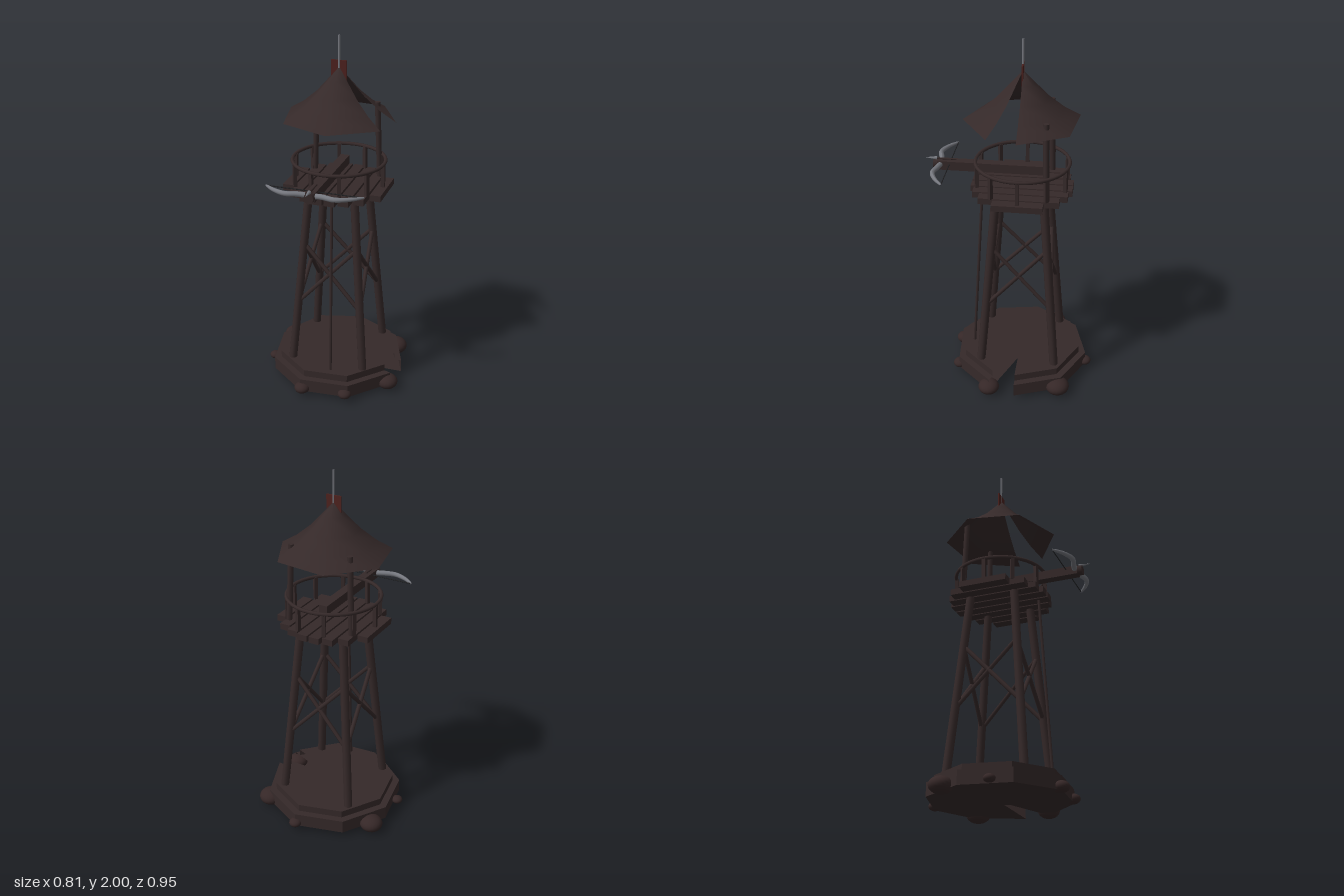
import * as THREE from 'three';

const paint = (name, color, extra = {}) => {
  const m = new THREE.MeshStandardMaterial({ color, ...extra });
  m.name = name;
  return m;
};
const V = (x, y, z) => new THREE.Vector3(x, y, z);
const rad = THREE.MathUtils.degToRad;
const CZ = -0.06; // tower axis in z

export function createModel() {
  const model = new THREE.Group();
  model.name = 'watchtower';
  const wood = paint('darkWood', 0x352929, { side: THREE.DoubleSide });
  const stone = paint('brownStone', 0x352727);
  const steel = paint('greySteel', 0x74767d);
  const cord = paint('darkCord', 0x202022);
  const red = paint('darkRed', 0x4c211e);

  const add = (name, geo, mat, x = 0, y = 0, z = 0) => {
    const mesh = new THREE.Mesh(geo, mat);
    mesh.name = name;
    mesh.position.set(x, y, z);
    model.add(mesh);
    return mesh;
  };
  const flat = (geo) => {
    const g = geo.toNonIndexed();
    g.computeVertexNormals();
    return g;
  };
  // Straight round bar between two points
  const bar = (name, a, b, r, mat = wood, sides = 8) => {
    const mid = a.clone().add(b).multiplyScalar(0.5);
    const mesh = add(name, new THREE.CylinderGeometry(r, r, a.distanceTo(b), sides), mat, mid.x, mid.y, mid.z);
    mesh.quaternion.setFromUnitVectors(V(0, 1, 0), b.clone().sub(a).normalize());
    return mesh;
  };

  // Two-tier base with an open wedge on the left side
  const tier = (name, r, y0, y1) => add(name,
    flat(new THREE.CylinderGeometry(r, r, y1 - y0, 8, 1, false, Math.PI / 2, rad(338))),
    wood, 0, (y0 + y1) / 2, CZ);
  tier('lowerBase', 0.385, 0.03, 0.105);
  tier('upperBase', 0.345, 0.105, 0.145);

  // Boulders around the base: x, z, radius
  [[0.035, -0.442, 0.035], [0.29, -0.3, 0.067], [0.343, 0.088, 0.059], [0.148, 0.287, 0.038],
    [-0.1, 0.303, 0.044], [-0.37, 0.032, 0.031], [-0.34, -0.235, 0.064]].forEach(([x, z, r]) => {
    add('boulder', new THREE.SphereGeometry(r, 20, 14), stone, x, 0.05, z).scale.y = 0.7;
  });

  // Four legs leaning inward, with cross braces on every side
  const lean = (y) => 0.21 - 0.082 * (y - 0.14) / 1.03;
  for (let i = 0; i < 4; i++) {
    const side = new THREE.Group();
    const at = (s, y) => V(s * lean(y), y, lean(y))
      .applyAxisAngle(V(0, 1, 0), i * Math.PI / 2).add(V(0, 0, CZ));
    bar('leg', at(1, 0.13), at(1, 1.16), 0.024);
    bar('brace', at(-1, 0.5), at(1, 0.86), 0.012, wood, 6);
    bar('brace', at(1, 0.5), at(-1, 0.86), 0.012, wood, 6);
  }
  bar('climbingPole', V(0.04, 0.14, 0.215), V(0.03, 1.17, 0.155), 0.008, wood, 6);

  // Platform planks, shorter towards the edges
  const halfLength = [0.135, 0.215, 0.255, 0.275];
  for (let i = 0; i < 8; i++) {
    const len = 2 * halfLength[Math.min(i, 7 - i)];
    add('plank', new THREE.BoxGeometry(0.06, 0.034, len), wood, -0.248 + i * 0.0705, 1.173, CZ);
  }

  // Railing
  const rail = add('rail', new THREE.TorusGeometry(0.254, 0.01, 6, 40), wood, 0, 1.32, CZ);
  rail.rotation.x = Math.PI / 2;
  for (let i = 0; i < 10; i++) {
    const a = i * Math.PI / 5;
    const post = add('railPost', new THREE.BoxGeometry(0.02, 0.13, 0.02), wood,
      0.25 * Math.cos(a), 1.255, CZ + 0.25 * Math.sin(a));
    post.rotation.y = -a;
  }

  // Two rear roof posts
  for (const s of [-1, 1]) bar('roofPost', V(s * 0.19, 1.17, -0.208), V(s * 0.173, 1.62, -0.198), 0.016);

  // Flared roof, open over the wedge
  const profile = [[0.315, 1.56], [0.225, 1.615], [0.14, 1.685], [0.065, 1.765], [0, 1.835]]
    .map(([r, y]) => new THREE.Vector2(r, y));
  add('roof', new THREE.LatheGeometry(profile, 6, Math.PI / 2, rad(330)), wood, 0, 0, CZ);

  // Spire and flag
  bar('spire', V(0, 1.8, CZ), V(0, 2, CZ), 0.006, steel);
  add('flag', new THREE.BoxGeometry(0.085, 0.11, 0.008), red, -0.002, 1.815, CZ);

  // Mounted crossbow
  add('stock', new THREE.BoxGeometry(0.05, 0.05, 0.58), wood, -0.003, 1.278, 0.11);
  const muzzle = bar('stockHead', V(-0.003, 1.28, 0.375), V(-0.003, 1.28, 0.425), 0.028, wood, 8);
  muzzle.name = 'stockHead';
  const half = [[0.265, 0.335], [0.2, 0.382], [0.13, 0.407], [0.06, 0.392]];
  const path = new THREE.CatmullRomCurve3([
    ...half.map(([x, z]) => V(-x, 1.287, z)), V(0, 1.282, 0.385),
    ...half.slice().reverse().map(([x, z]) => V(x, 1.287, z))]);
  const bow = new THREE.TubeGeometry(path, 48, 0.015, 10);
  const pos = bow.attributes.position;
  for (let i = 0; i < pos.count; i++) { // taper towards the tips
    const u = Math.floor(i / 11) / 48;
    const c = path.getPointAt(u);
    const k = 0.25 + 0.75 * Math.sqrt(Math.sin(Math.PI * Math.min(Math.max(u, 0), 1)));
    const p = V(0, 0, 0).fromBufferAttribute(pos, i).sub(c).multiplyScalar(k).add(c);
    pos.setXYZ(i, p.x, p.y, p.z);
  }
  bow.computeVertexNormals();
  add('bow', bow, steel, -0.003);
  bar('bowString', V(-0.266, 1.287, 0.336), V(0.26, 1.287, 0.336), 0.003, cord, 6);
  bar('boltShaft', V(-0.003, 1.309, 0.3), V(-0.003, 1.309, 0.42), 0.005, wood, 6);
  const tip = add('boltTip', new THREE.ConeGeometry(0.011, 0.065, 6), steel, -0.003, 1.311, 0.438);
  tip.rotation.x = Math.PI / 2;

  return model;
}
